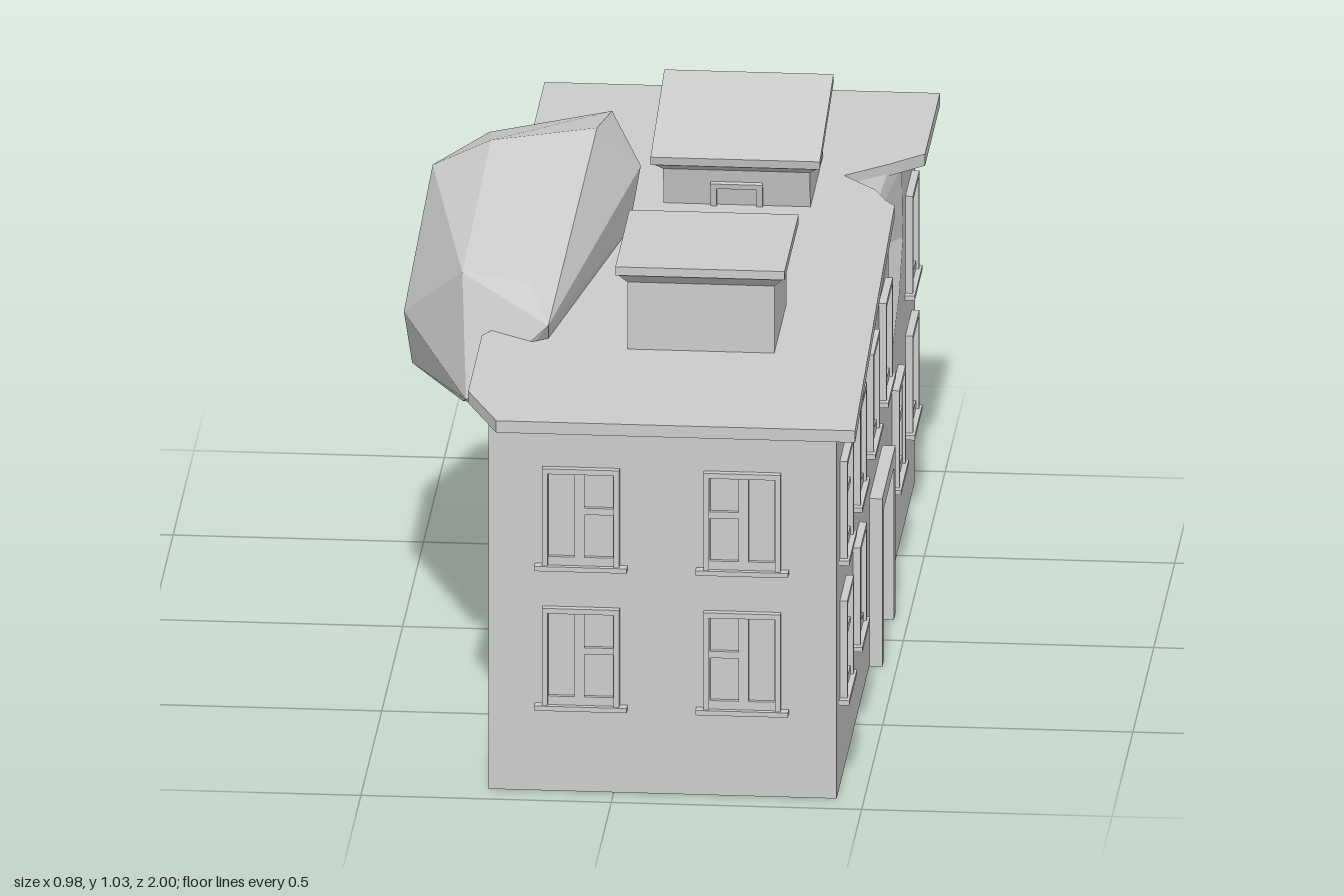
import * as THREE from 'three';
import { ConvexGeometry } from 'three/addons/geometries/ConvexGeometry.js';

const mat = new THREE.MeshStandardMaterial({ color: 0xcccccc, flatShading: true, side: THREE.DoubleSide });
const X0 = -0.25, X1 = 0.445, ZW = 0.94, TOP = 0.78;

const add = (parent, name, geo, x = 0, y = 0, z = 0) => {
  const m = new THREE.Mesh(geo, mat);
  m.name = name;
  m.position.set(x, y, z);
  parent.add(m);
  return m;
};
const box = (p, name, w, h, d, x, y, z) => add(p, name, new THREE.BoxGeometry(w, h, d), x, y, z);
const shapeOf = (pts) => new THREE.Shape(pts.map(([a, b]) => new THREE.Vector2(a, b)));
const rect = (x0, y0, x1, y1) => [[x0, y0], [x1, y0], [x1, y1], [x0, y1]];

// Flat frame with openings, its back on z = 0
function frame(parent, name, outer, holes, depth) {
  const s = shapeOf(outer);
  s.holes = holes.map(shapeOf);
  return add(parent, name, new THREE.ExtrudeGeometry(s, { depth, bevelEnabled: false }));
}

// Window with one tall pane and two small ones; side = -1 puts the tall pane on the left
function makeWindow(side) {
  const g = new THREE.Group();
  g.name = 'window';
  const h = 0.205, w = 0.077;
  const pane = (a, b, y0, y1) => rect(Math.min(a * side, b * side), y0, Math.max(a * side, b * side), y1);
  frame(g, 'windowFrame', rect(-w, 0, w, h), [rect(-w + 0.011, 0, w - 0.011, h - 0.011)], 0.015);
  frame(g, 'windowSash', rect(-w + 0.011, 0, w - 0.011, h - 0.011), [
    pane(0.013, 0.064, 0.018, 0.192),
    pane(-0.064, -0.007, 0.018, 0.108),
    pane(-0.064, -0.007, 0.122, 0.192),
  ], 0.009);
  box(g, 'windowSill', 0.185, 0.01, 0.02, 0, -0.005, 0.01);
  return g;
}

// Side wall with a broken rim cut down from its top edge
function sideWall(parent, name, x, rim) {
  const s = shapeOf([[-ZW, 0], [-ZW, TOP], ...rim, [ZW, TOP], [ZW, 0]]);
  const geo = new THREE.ShapeGeometry(s);
  const p = geo.attributes.position;
  for (let i = 0; i < p.count; i++) p.setXYZ(i, x, p.getY(i), p.getX(i));
  geo.computeVertexNormals();
  add(parent, name, geo);
}

// Broken hollow: a fan from the wall rim and the roof notch to the deepest point
function hollow(parent, name, x, rim, notch, deep) {
  const loop = [...rim.map(([z, y]) => [x, y, z]), ...notch.map(([nx, nz]) => [nx, TOP, nz])];
  const v = [];
  loop.forEach((a, i) => v.push(...a, ...loop[(i + 1) % loop.length], ...deep));
  const geo = new THREE.BufferGeometry();
  geo.setAttribute('position', new THREE.Float32BufferAttribute(v, 3));
  geo.computeVertexNormals();
  add(parent, name, geo);
}

// Small rooftop hut with a flared cap and a door
function roofHut(name, doorSide) {
  const g = new THREE.Group();
  g.name = name;
  box(g, 'hutWalls', 0.293, 0.16, 0.293, 0, 0.07, 0);
  const flare = new THREE.CylinderGeometry(0.166 * Math.SQRT2, 0.147 * Math.SQRT2, 0.022, 4);
  flare.rotateY(Math.PI / 4);
  add(g, 'hutEave', flare, 0, 0.153, 0);
  box(g, 'hutCap', 0.338, 0.018, 0.338, 0, 0.172, 0);
  const door = frame(g, 'hutDoorFrame', rect(-0.052, -0.01, 0.052, 0.115), [rect(-0.04, -0.01, 0.04, 0.104)], 0.01);
  door.position.z = doorSide * 0.1465;
  if (doorSide < 0) door.rotation.y = Math.PI;
  return g;
}

export function createModel() {
  const model = new THREE.Group();
  model.name = 'damagedBuilding';

  // Broken outlines: wall rims as [z, y], roof notches as [x, z]
  const rimR = [[-0.62, TOP], [-0.65, 0.62], [-0.56, 0.53], [-0.37, 0.46], [-0.3, 0.62], [-0.305, TOP]];
  const rimL = [[-0.44, TOP], [-0.36, 0.67], [-0.3, 0.62], [-0.19, 0.32], [0.21, 0.48], [0.3, 0.62], [0.42, TOP]];
  const notchR = [[0.435, -0.36], [0.41, -0.42], [0.34, -0.5], [0.42, -0.57]];
  const notchL = [[-0.2, 0.32], [-0.13, 0.1], [-0.12, -0.15], [-0.19, -0.33]];

  // Walls and underside
  const walls = new THREE.Group();
  walls.name = 'walls';
  model.add(walls);
  const cx = (X0 + X1) / 2, w = X1 - X0;
  add(walls, 'frontWall', new THREE.PlaneGeometry(w, TOP), cx, TOP / 2, ZW);
  add(walls, 'backWall', new THREE.PlaneGeometry(w, TOP).rotateY(Math.PI), cx, TOP / 2, -ZW);
  add(walls, 'underside', new THREE.PlaneGeometry(w, 2 * ZW).rotateX(Math.PI / 2), cx, 0, 0);
  sideWall(walls, 'leftWall', X1, rimR);
  sideWall(walls, 'rightWall', X0, rimL);
  hollow(walls, 'smallHollow', X1, rimR, notchR, [0.37, 0.64, -0.46]);
  hollow(walls, 'largeHollow', X0, rimL, notchL, [-0.1, 0.5, 0]);

  // Roof slab with chipped corner and notches
  const roof = shapeOf([
    [-0.23, 1], [0.487, 1], [0.467, 0.2], [0.455, -0.33], ...notchR, [0.49, -0.64], [0.49, -1],
    [-0.3, -1], [-0.3, -0.46], ...notchL.slice().reverse(), [-0.3, 0.5], [-0.3, 0.83],
  ].map(([x, z]) => [x, -z]));
  const slab = new THREE.ExtrudeGeometry(roof, { depth: 0.025, bevelEnabled: false });
  add(model, 'roofSlab', slab.rotateX(-Math.PI / 2), 0, 0.775, 0);

  // Rooftop huts, the rear one tilted and sunken
  const frontHut = roofHut('frontHut', -1);
  frontHut.position.set(0.142, 0.8, 0.41);
  const rearHut = roofHut('rearHut', 1);
  rearHut.position.set(0.142, 0.768, -0.466);
  rearHut.rotation.x = 0.2;
  model.add(frontHut, rearHut);

  // Windows
  const place = (x, y, z, turn, side) => {
    const win = makeWindow(side);
    win.position.set(x, y, z);
    win.rotation.y = turn;
    model.add(win);
  };
  const LOW = 0.185, HIGH = 0.48;
  for (const y of [LOW, HIGH]) {
    for (const [x, side] of [[-0.065, -1], [0.257, 1]]) {
      place(x, y, ZW, 0, side);
      place(x, y, -ZW, Math.PI, -side);
    }
    for (const [z, side] of [[0.785, -1], [0.47, 1], [-0.785, 1]]) place(X1, y, z, Math.PI / 2, side);
  }
  place(X1, HIGH, 0.155, Math.PI / 2, 1);
  place(X1, HIGH, -0.15, Math.PI / 2, 1);
  place(X1, LOW, -0.46, Math.PI / 2, -1);

  // Main door
  const door = new THREE.Group();
  door.name = 'mainDoor';
  frame(door, 'doorFrame',
    [[-0.158, 0], [-0.158, 0.355], [0.158, 0.355], [0.158, 0], [0.12, 0], [0.12, 0.32], [-0.12, 0.32], [-0.12, 0]], [], 0.026);
  box(door, 'doorPanel', 0.24, 0.32, 0.006, 0, 0.16, 0.003);
  door.position.set(X1, 0, 0);
  door.rotation.y = Math.PI / 2;
  model.add(door);

  // Boulder lodged in the roof edge
  const rock = [
    [-0.12, 1.03, -0.1], [-0.33, 1.005, -0.08], [-0.45, 0.935, -0.12], [-0.11, 0.98, -0.34], [-0.35, 0.95, -0.28],
    [-0.14, 0.82, -0.53], [-0.4, 0.78, -0.43], [-0.49, 0.72, -0.21], [-0.485, 0.72, 0.15], [-0.04, 0.92, -0.19],
    [-0.07, 0.87, -0.36], [-0.06, 0.8, -0.15], [-0.35, 0.885, 0.37], [-0.21, 0.885, 0.42], [-0.165, 0.835, 0.53],
    [-0.33, 0.67, 0.52], [-0.3, 0.66, 0.51], [-0.35, 0.61, 0.36], [-0.485, 0.54, -0.05], [-0.44, 0.5, -0.16],
    [-0.305, 0.51, -0.12], [-0.38, 0.58, -0.36], [-0.17, 0.73, 0.46],
  ];
  add(model, 'boulder', new ConvexGeometry(rock.map((p) => new THREE.Vector3(...p))));

  // Broken beams in the large hollow
  box(model, 'brokenBeam', 0.1, 0.03, 0.14, -0.2, 0.58, -0.2).rotation.x = 0.2;
  box(model, 'brokenPost', 0.03, 0.13, 0.03, -0.23, 0.56, -0.15);
  return model;
}
